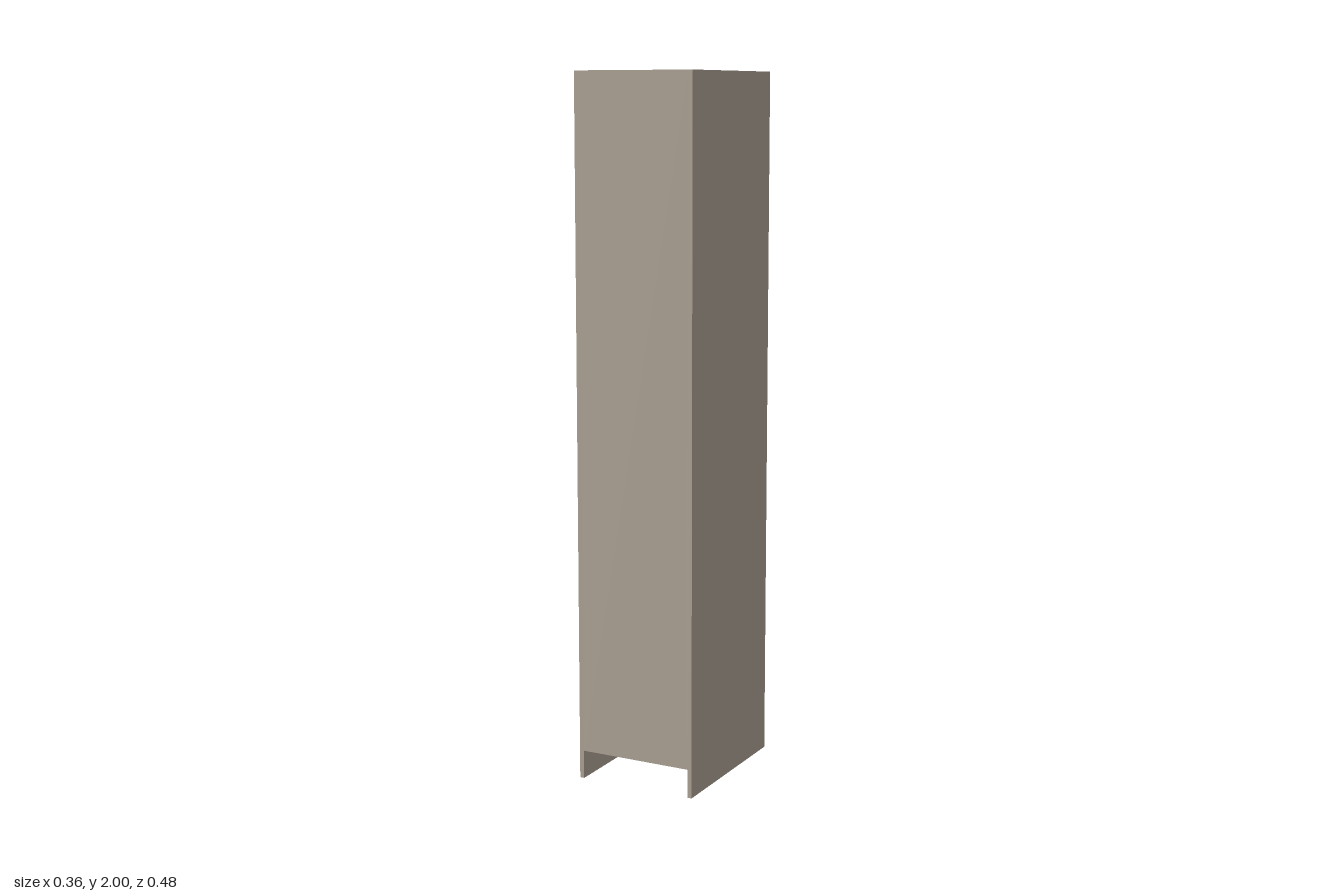
import * as THREE from 'three';

const W = 0.36, H = 2, D = 0.48, T = 0.013; // overall size and board thickness
const INNER = W - 2 * T;
const OPEN_Z = -D / 2; // the open side faces -z

export function createModel() {
  const model = new THREE.Group();
  model.name = 'wardrobe';
  const board = new THREE.MeshStandardMaterial({ color: 0xa99f91 });
  board.name = 'greige board';

  // Box given by its limits on each axis
  const panel = (name, [x0, x1], [y0, y1], [z0, z1], parent = model) => {
    const mesh = new THREE.Mesh(new THREE.BoxGeometry(x1 - x0, y1 - y0, z1 - z0), board);
    mesh.position.set((x0 + x1) / 2, (y0 + y1) / 2, (z0 + z1) / 2);
    mesh.name = name;
    parent.add(mesh);
    return mesh;
  };
  const innerX = [-INNER / 2, INNER / 2];
  const innerZ = [OPEN_Z, D / 2 - T];

  // Carcass
  panel('rightSide', [-W / 2, -INNER / 2], [0, H], [OPEN_Z, D / 2]);
  panel('leftSide', [INNER / 2, W / 2], [0, H], [OPEN_Z, D / 2]);
  panel('topPanel', innerX, [H - T, H], innerZ);
  panel('closedPanel', innerX, [0.082, H], [D / 2 - T, D / 2]);
  panel('bottomPanel', innerX, [0.082, 0.082 + T], innerZ);
  panel('plinth', innerX, [0, 0.082], [OPEN_Z, OPEN_Z + T]);

  // Shelves, by height of their upper face
  for (const y of [1.729, 0.644, 0.371]) panel('shelf', innerX, [y - T, y], innerZ);

  // Hanging rail
  const rail = new THREE.Mesh(new THREE.CylinderGeometry(0.008, 0.008, INNER, 24), board);
  rail.rotation.z = Math.PI / 2;
  rail.position.set(0, 1.622, -0.006);
  rail.name = 'hangingRail';
  model.add(rail);

  // Two drawers, each a front with an open box behind it
  for (const [y0, y1] of [[0.101, 0.217], [0.229, 0.345]]) {
    const drawer = new THREE.Group();
    drawer.name = 'drawer';
    model.add(drawer);
    const z0 = OPEN_Z + 0.002, zBox = z0 + T, zEnd = 0.2;
    const x = INNER / 2 - 0.004, xBox = x - 0.008, top = y1 - 0.02;
    panel('drawerFront', [-x, x], [y0, y1], [z0, zBox], drawer);
    panel('drawerBase', [-xBox, xBox], [y0 + 0.01, y0 + 0.018], [zBox, zEnd], drawer);
    panel('drawerEnd', [-xBox, xBox], [y0 + 0.018, top], [zEnd - 0.01, zEnd], drawer);
    for (const s of [-1, 1]) {
      const mid = s * (xBox - 0.005);
      panel('drawerSide', [mid - 0.005, mid + 0.005], [y0 + 0.018, top], [zBox, zEnd - 0.01], drawer);
    }
  }
  return model;
}
